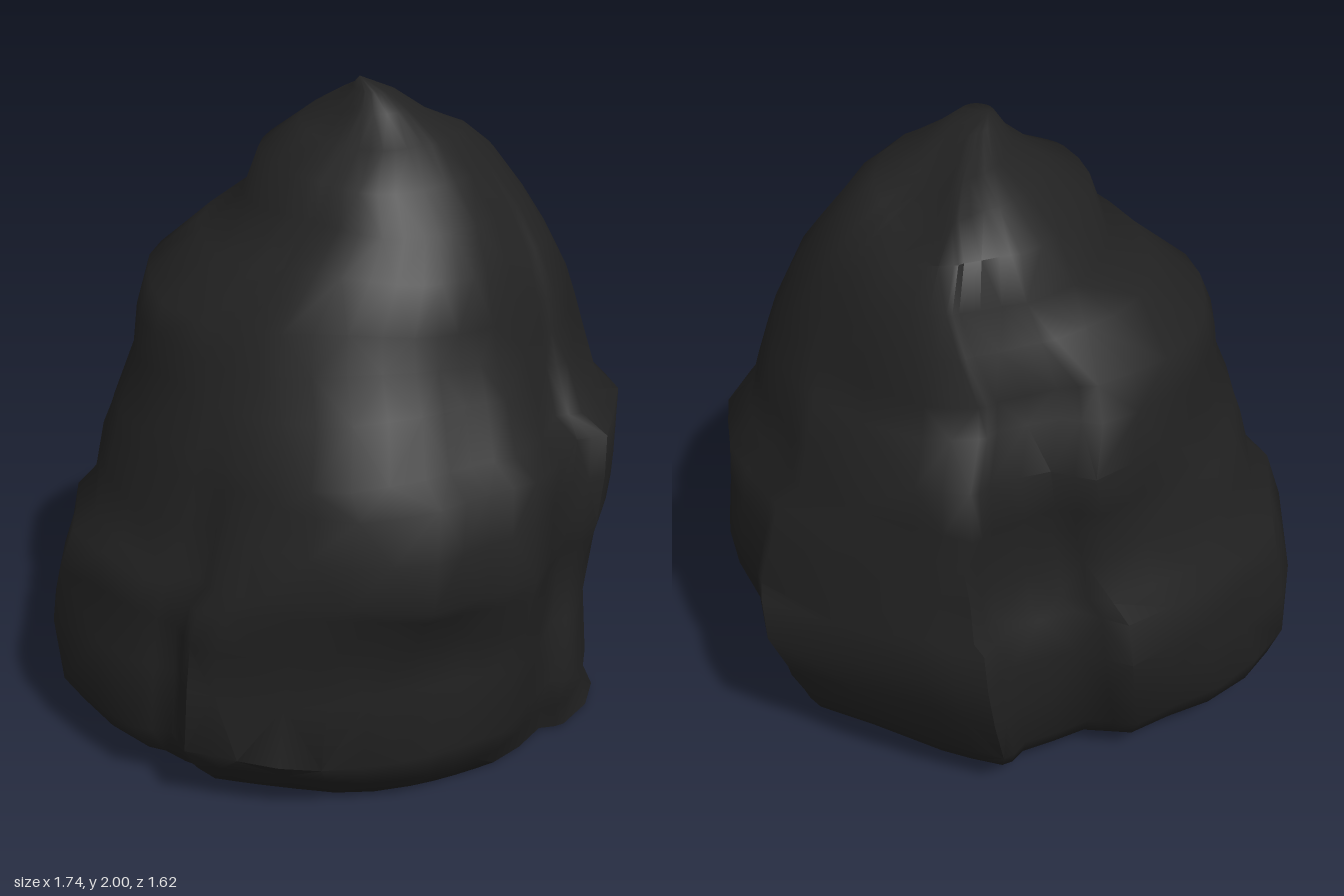
import * as THREE from 'three';
import { toCreasedNormals } from 'three/addons/utils/BufferGeometryUtils.js';

// Plan outline, clockwise from the back: [x, z, height where this corner is strongest]
const OUTLINE = [
  [0, -0.81, 0.57], [0.2, -0.77, 0.57], [0.68, -0.6, 0.6], [0.7, -0.48, 0.7],
  [0.83, -0.27, 0.75], [0.865, -0.04, 0.95], [0.77, 0.31, 1.0], [0.67, 0.34, 0.8],
  [0.53, 0.66, 0.6], [0.36, 0.71, 0.65], [0.2, 0.785, 0.75], [-0.05, 0.8, 0.75],
  [-0.3, 0.75, 0.6], [-0.46, 0.71, 0.4], [-0.5, 0.6, 0.4], [-0.63, 0.54, 0.45],
  [-0.87, 0.23, 0.45], [-0.87, -0.13, 0.5], [-0.65, -0.43, 0.6], [-0.41, -0.62, 0.6],
  [-0.25, -0.59, 0.6], [-0.06, -0.7, 0.6],
];

// Horizontal sections: [y, left-hand x, right-hand x, back z, front z]
const SECTIONS = [
  [0.02, -0.78, 0.82, -0.46, 0.6],
  [0.1, -0.82, 0.78, -0.59, 0.68],
  [0.21, -0.86, 0.77, -0.68, 0.77],
  [0.4, -0.87, 0.79, -0.76, 0.745],
  [0.57, -0.835, 0.83, -0.81, 0.775],
  [0.69, -0.8, 0.85, -0.795, 0.8],
  [0.74, -0.74, 0.855, -0.785, 0.81],
  [0.88, -0.71, 0.86, -0.77, 0.8],
  [1.0, -0.68, 0.865, -0.76, 0.765],
  [1.07, -0.66, 0.79, -0.75, 0.74],
  [1.21, -0.6, 0.75, -0.735, 0.64],
  [1.32, -0.585, 0.72, -0.63, 0.565],
  [1.42, -0.55, 0.69, -0.6, 0.53],
  [1.56, -0.39, 0.62, -0.57, 0.47],
  [1.66, -0.27, 0.555, -0.53, 0.36],
  [1.78, -0.22, 0.465, -0.49, 0.33],
  [1.86, -0.1, 0.38, -0.36, 0.2],
  [1.93, 0.0, 0.26, -0.26, 0.11],
  [1.98, 0.05, 0.17, -0.1, 0.07],
];

// Smooth uneven relief across the stone
function relief(x, y, z) {
  return Math.sin(5.1 * x + 3.7 * y + 1.3) * Math.sin(4.3 * z - 5.3 * y + 0.4)
    + 0.6 * Math.sin(9.2 * y - 6.1 * x + 2.1) * Math.sin(8.3 * z + 3.1 * x);
}

// Outline with midpoints, as angle, radius and corner height
const SPOKES = OUTLINE.flatMap((p, i) => {
  const q = OUTLINE[(i + 1) % OUTLINE.length];
  return [p, p.map((v, k) => (v + q[k]) / 2)];
}).map(([x, z, height]) => ({
  angle: Math.atan2(z / 0.805, x / 0.868),
  radius: Math.hypot(x / 0.868, z / 0.805),
  height,
}));

// Rescale one coordinate of a ring to run from lo to hi
function fit(values, lo, hi) {
  const min = Math.min(...values), max = Math.max(...values);
  return values.map((v) => lo + (hi - lo) * (v - min) / (max - min));
}

// One closed ring: corners fade away from their own height
function ringPoints([y, x0, x1, z0, z1], ring) {
  const round = THREE.MathUtils.smoothstep(y, 0.9, 1.7) * 0.75;
  const points = SPOKES.map(({ angle, radius, height }) => {
    const plain = THREE.MathUtils.lerp(Math.min(radius, 0.94), 0.94, round);
    const strength = Math.exp(-(((y - height) / 0.45) ** 2));
    let r = THREE.MathUtils.lerp(plain, radius, strength);
    // The foot is cut back between its sides
    if (y < 0.15) r *= 1 - (0.15 - y) * 0.8 * Math.abs(Math.sin(2 * angle));
    const ux = Math.cos(angle), uz = Math.sin(angle);
    r *= 1 + 0.025 * relief(ux * 0.85, y, uz * 0.8);
    return [ux * r, uz * r];
  });
  const xs = fit(points.map((p) => p[0]), x0, x1);
  const zs = fit(points.map((p) => p[1]), z0, z1);
  return xs.map((x, j) => {
    const z = zs[j];
    let py = y;
    // Tilted foot, wandering ledges and a cleft beside the summit
    if (ring === 0) py = x < -0.5 ? 0.04 : 0.02 - 0.03 * Math.max(0, z);
    else if (y < 1.9) py += 0.014 * Math.sin(7 * x + 4 * z + ring);
    if (y > 1.5) py -= 0.08 * Math.exp(-(((x - 0.24) / 0.12) ** 2) - ((z + 0.25) / 0.2) ** 2);
    return [x, py, z];
  });
}

function boulderGeometry() {
  const n = SPOKES.length;
  const positions = SECTIONS.flatMap((s, i) => ringPoints(s, i).flat());
  const index = [];

  // Walls
  for (let i = 0; i < SECTIONS.length - 1; i++) {
    for (let j = 0; j < n; j++) {
      const a = i * n + j, b = i * n + (j + 1) % n;
      const c = a + n, d = b + n;
      if ((i + j) % 2) index.push(a, c, b, b, c, d);
      else index.push(a, c, d, a, d, b);
    }
  }

  // Underside and summit
  const base = positions.length / 3;
  positions.push(0, 0.01, 0.05, 0.07, 2, -0.03);
  const last = (SECTIONS.length - 1) * n;
  for (let j = 0; j < n; j++) {
    const next = (j + 1) % n;
    index.push(base, j, next, base + 1, last + next, last + j);
  }

  const geometry = new THREE.BufferGeometry();
  geometry.setAttribute('position', new THREE.Float32BufferAttribute(positions, 3));
  geometry.setIndex(index);
  return toCreasedNormals(geometry, 0.95);
}

export function createModel() {
  const group = new THREE.Group();
  group.name = 'rock';
  const stone = new THREE.MeshStandardMaterial({ color: 0x222222 });
  stone.name = 'dark stone';
  const boulder = new THREE.Mesh(boulderGeometry(), stone);
  boulder.name = 'boulder';
  group.add(boulder);
  return group;
}
